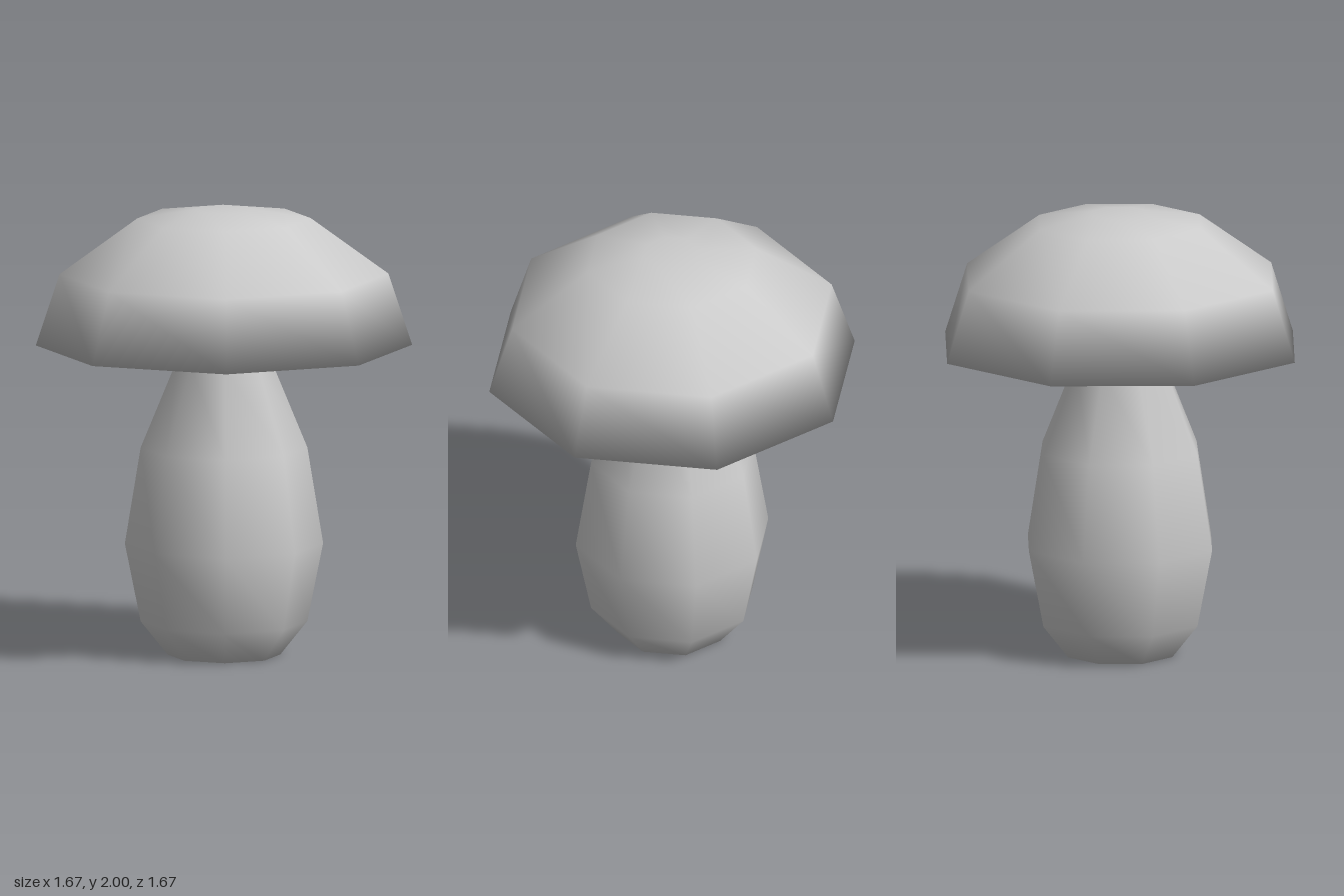
import * as THREE from 'three';

const SIDES = 8;

// Smooth-shaded octagonal turning from [radius, height] pairs
function turned(name, profile) {
  const points = profile.map(([r, y]) => new THREE.Vector2(r, y));
  const material = new THREE.MeshStandardMaterial({ color: 0xcccccc, side: THREE.DoubleSide });
  const mesh = new THREE.Mesh(new THREE.LatheGeometry(points, SIDES), material);
  mesh.name = name;
  return mesh;
}

export function createModel() {
  const group = new THREE.Group();
  group.name = 'mushroom';

  // Bulbous stem, narrowing to a neck that runs up inside the cap
  group.add(turned('stem', [
    [0, 0], [0.25, 0], [0.37, 0.15], [0.44, 0.5], [0.37, 0.93], [0.21, 1.32], [0.21, 1.53],
  ]));

  // Cap: recessed underside from the neck out to the rim, then the dome up to the crown
  group.add(turned('cap', [
    [0.21, 1.53], [0.835, 1.39], [0.73, 1.71], [0.385, 1.96], [0.13, 2], [0, 2],
  ]));

  return group;
}
